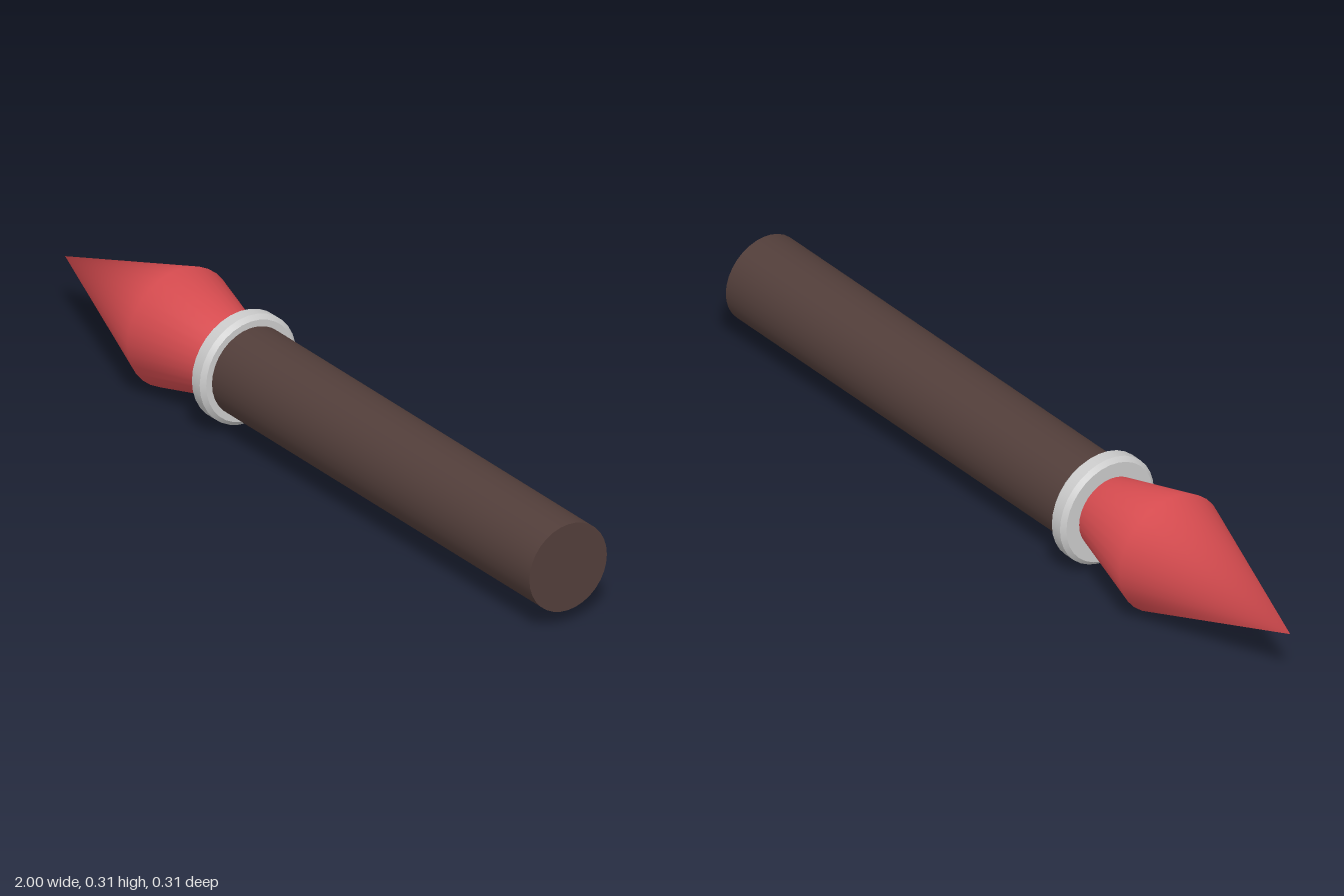
import * as THREE from 'three';
import { mergeVertices } from 'three/addons/utils/BufferGeometryUtils.js';

const SIDES = 32;
const AXIS_HEIGHT = 0.154;

// Turned part along x from [x, radius] points, ordered from -x to +x.
function turned(points) {
  const profile = points.map(([x, r]) => new THREE.Vector2(r, x));
  return new THREE.LatheGeometry(profile, SIDES).rotateZ(-Math.PI / 2);
}

function addPart(parent, name, geometry, color) {
  const material = new THREE.MeshStandardMaterial({ color });
  const mesh = new THREE.Mesh(geometry, material);
  mesh.name = name;
  parent.add(mesh);
  return mesh;
}

export function createModel() {
  const model = new THREE.Group();
  model.name = 'spearShapedRod';
  const body = new THREE.Group();
  body.name = 'body';
  body.position.y = AXIS_HEIGHT;
  model.add(body);

  // Pointed head, one smooth surface welded at the tip and around the widest ring
  let head = turned([[-1, 0], [-0.545, 0.154], [-0.29, 0.086]]);
  head.deleteAttribute('uv');
  head.deleteAttribute('normal');
  head = mergeVertices(head);
  head.computeVertexNormals();
  addPart(body, 'head', head, 0xd84c50);

  // Collar with bevelled rims; separate bands keep its edges crisp
  const collar = new THREE.Group();
  collar.name = 'collar';
  body.add(collar);
  const rim = [
    [-0.315, 0.085], [-0.315, 0.131], [-0.304, 0.142],
    [-0.273, 0.142], [-0.262, 0.131], [-0.262, 0.11],
  ];
  const bandNames = ['headSideFace', 'headSideBevel', 'outerBand', 'shaftSideBevel', 'shaftSideFace'];
  bandNames.forEach((name, i) => {
    addPart(collar, name, turned([rim[i], rim[i + 1]]), 0xcccccc);
  });

  // Straight round shaft with a flat end
  const shaftStart = -0.29;
  const shaftLength = 1 - shaftStart;
  const shaft = new THREE.CylinderGeometry(0.114, 0.114, shaftLength, SIDES);
  shaft.rotateZ(-Math.PI / 2).translate(shaftStart + shaftLength / 2, 0, 0);
  addPart(body, 'shaft', shaft, 0x523e3a);

  return model;
}
